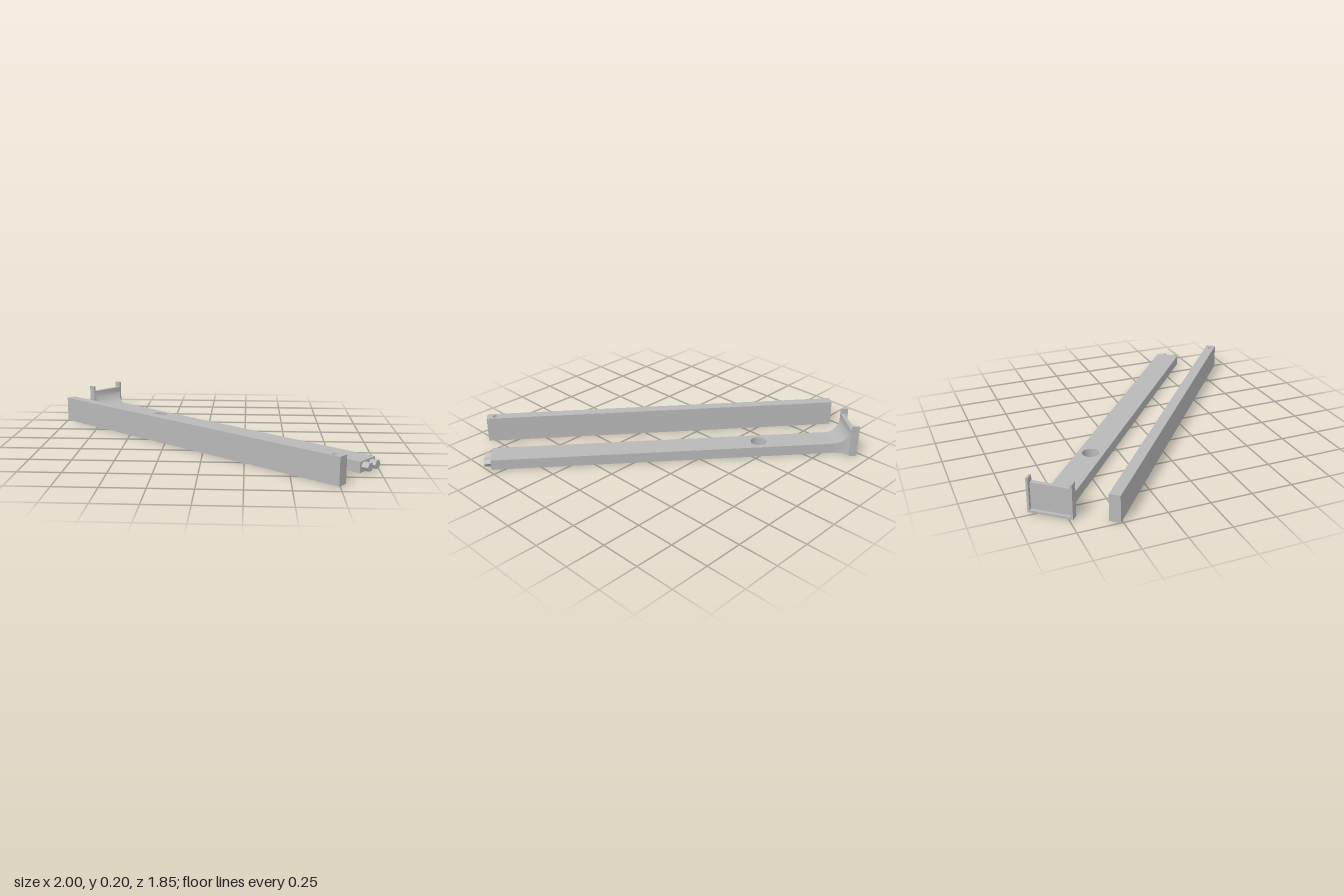
import * as THREE from 'three';
import { toCreasedNormals } from 'three/addons/utils/BufferGeometryUtils.js';

const grey = new THREE.MeshStandardMaterial({ color: 0xb8b8b8 });
grey.name = 'plain grey';

function add(parent, name, geometry) {
  const mesh = new THREE.Mesh(geometry, grey);
  mesh.name = name;
  parent.add(mesh);
  return mesh;
}

function box(parent, name, x0, x1, y0, y1, z0, z1) {
  add(parent, name, new THREE.BoxGeometry(x1 - x0, y1 - y0, z1 - z0))
    .position.set((x0 + x1) / 2, (y0 + y1) / 2, (z0 + z1) / 2);
}

// Straight bar along x, with a round hole drilled down through it
function drilledBar(x0, x1, halfWidth, height, holeX, holeRadius) {
  const shape = new THREE.Shape([
    new THREE.Vector2(x0, -halfWidth), new THREE.Vector2(x1, -halfWidth),
    new THREE.Vector2(x1, halfWidth), new THREE.Vector2(x0, halfWidth),
  ]);
  const hole = new THREE.Path();
  hole.absarc(holeX, 0, holeRadius, 0, Math.PI * 2, true);
  shape.holes.push(hole);
  const g = new THREE.ExtrudeGeometry(shape, { depth: height, bevelEnabled: false, curveSegments: 24 });
  return g.rotateX(Math.PI / 2).translate(0, height, 0);
}

// Rectangular sections growing along a quarter ellipse from the beam to the plate
function flareGeometry(x0, x1, w0, w1, h0, h1) {
  const steps = 14, points = [], index = [];
  for (let i = 0; i <= steps; i++) {
    const a = (i / steps) * Math.PI / 2;
    const x = x0 + (x1 - x0) * Math.sin(a), grow = 1 - Math.cos(a);
    const w = w0 + (w1 - w0) * grow, h = h0 + (h1 - h0) * grow;
    points.push(x, 0, -w, x, 0, w, x, h, w, x, h, -w);
    if (i === steps) break;
    for (let k = 0; k < 4; k++) {
      const p = i * 4 + k, q = i * 4 + (k + 1) % 4;
      index.push(p, q, q + 4, p, q + 4, p + 4);
    }
  }
  const g = new THREE.BufferGeometry();
  g.setAttribute('position', new THREE.Float32BufferAttribute(points, 3));
  g.setIndex(index);
  return toCreasedNormals(g, 0.6);
}

export function createModel() {
  const model = new THREE.Group();
  model.name = 'bracketArmAndBar';

  // Wide arm, built along x from the plate's outer face
  const arm = new THREE.Group();
  arm.name = 'arm';
  arm.position.set(-0.8, 0, -0.83);
  arm.rotation.y = -THREE.MathUtils.degToRad(39.8);
  model.add(arm);

  const length = 2.255, half = 0.0765, height = 0.065;
  const plateHalf = 0.128, plateDepth = 0.045, rim = 0.013;
  add(arm, 'beam', drilledBar(0.15, length, half, height, 0.598, 0.05));
  add(arm, 'flare', flareGeometry(0.15, plateDepth, half, plateHalf, height, 0.17));

  // End plate with a recessed back, a bottom rim and taller side rims
  box(arm, 'endPlate', 0.02, plateDepth, 0, 0.17, rim - plateHalf, plateHalf - rim);
  box(arm, 'bottomRim', 0, 0.02, 0, rim, rim - plateHalf, plateHalf - rim);
  for (const side of [-1, 1]) {
    const outer = side * plateHalf, inner = side * (plateHalf - rim);
    box(arm, side < 0 ? 'leftRim' : 'rightRim', 0, plateDepth, 0, 0.205,
      Math.min(outer, inner), Math.max(outer, inner));

    // Hexagonal pegs on the far end
    const peg = new THREE.CylinderGeometry(0.027, 0.027, 0.042, 6).toNonIndexed();
    peg.computeVertexNormals();
    peg.rotateZ(-Math.PI / 2);
    add(arm, side < 0 ? 'leftPeg' : 'rightPeg', peg)
      .position.set(length + 0.021, 0.034, side * 0.037);
  }

  // Narrow, taller bar lying beside the arm
  const bar = add(model, 'narrowBar', drilledBar(-1.128, 1.128, 0.032, 0.16, 1.077, 0.015));
  bar.position.set(-0.107, 0, 0.178);
  bar.rotation.y = -THREE.MathUtils.degToRad(39.4);

  return model;
}
